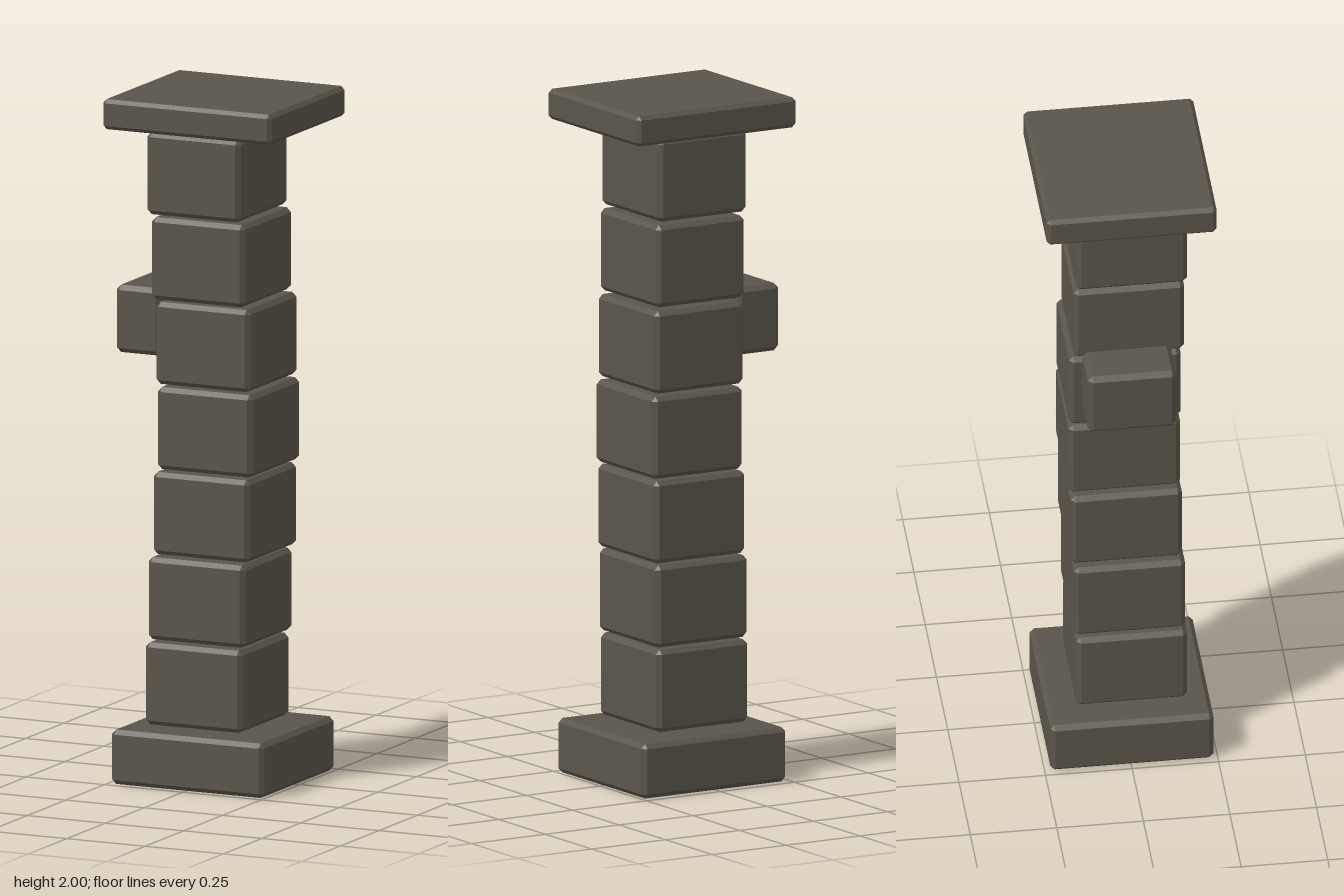
import * as THREE from 'three';
import { ConvexGeometry } from 'three/addons/geometries/ConvexGeometry.js';

// Box between two corners with every edge chamfered by c
function chamferedBox([x0, x1], [y0, y1], [z0, z1], c) {
  const h = [(x1 - x0) / 2, (y1 - y0) / 2, (z1 - z0) / 2];
  const points = [];
  for (const sx of [-1, 1]) for (const sy of [-1, 1]) for (const sz of [-1, 1]) {
    // three points per corner, one on each adjoining face
    for (let face = 0; face < 3; face++) {
      const p = [sx, sy, sz].map((s, i) => s * (h[i] - (i === face ? 0 : c)));
      points.push(new THREE.Vector3(...p));
    }
  }
  const geometry = new ConvexGeometry(points);
  geometry.translate((x0 + x1) / 2, (y0 + y1) / 2, (z0 + z1) / 2);
  return geometry;
}

export function createModel() {
  const model = new THREE.Group();
  model.name = 'stonePillar';
  const stone = new THREE.MeshStandardMaterial({ color: 0x5a554b });
  stone.name = 'darkStone';

  const add = (name, x, y, z, c = 0.013) => {
    const mesh = new THREE.Mesh(chamferedBox(x, y, z, c), stone);
    mesh.name = name;
    model.add(mesh);
  };

  // Base and capital slabs
  add('baseSlab', [-0.238, 0.249], [0, 0.159], [-0.233, 0.238]);
  add('capSlab', [-0.262, 0.277], [1.912, 2], [-0.247, 0.244], 0.011);

  // Stacked shaft blocks, each shifted a little: [x min, x max, z min, z max]
  const blocks = [
    [-0.162, 0.147, -0.149, 0.172],
    [-0.156, 0.154, -0.154, 0.167],
    [-0.144, 0.164, -0.162, 0.159],
    [-0.132, 0.172, -0.167, 0.155],
    [-0.136, 0.164, -0.166, 0.156],
    [-0.146, 0.152, -0.154, 0.165],
    [-0.157, 0.141, -0.148, 0.172],
  ];
  blocks.forEach(([x0, x1, z0, z1], i) => {
    const y = 0.169 + i * 0.2485;
    add(`shaftBlock${i + 1}`, [x0, x1], [y, y + 0.24], [z0, z1]);
  });

  // Stone projecting from the right side
  add('sideBlock', [-0.279, -0.135], [1.238, 1.435], [-0.13, 0.126], 0.014);

  return model;
}
